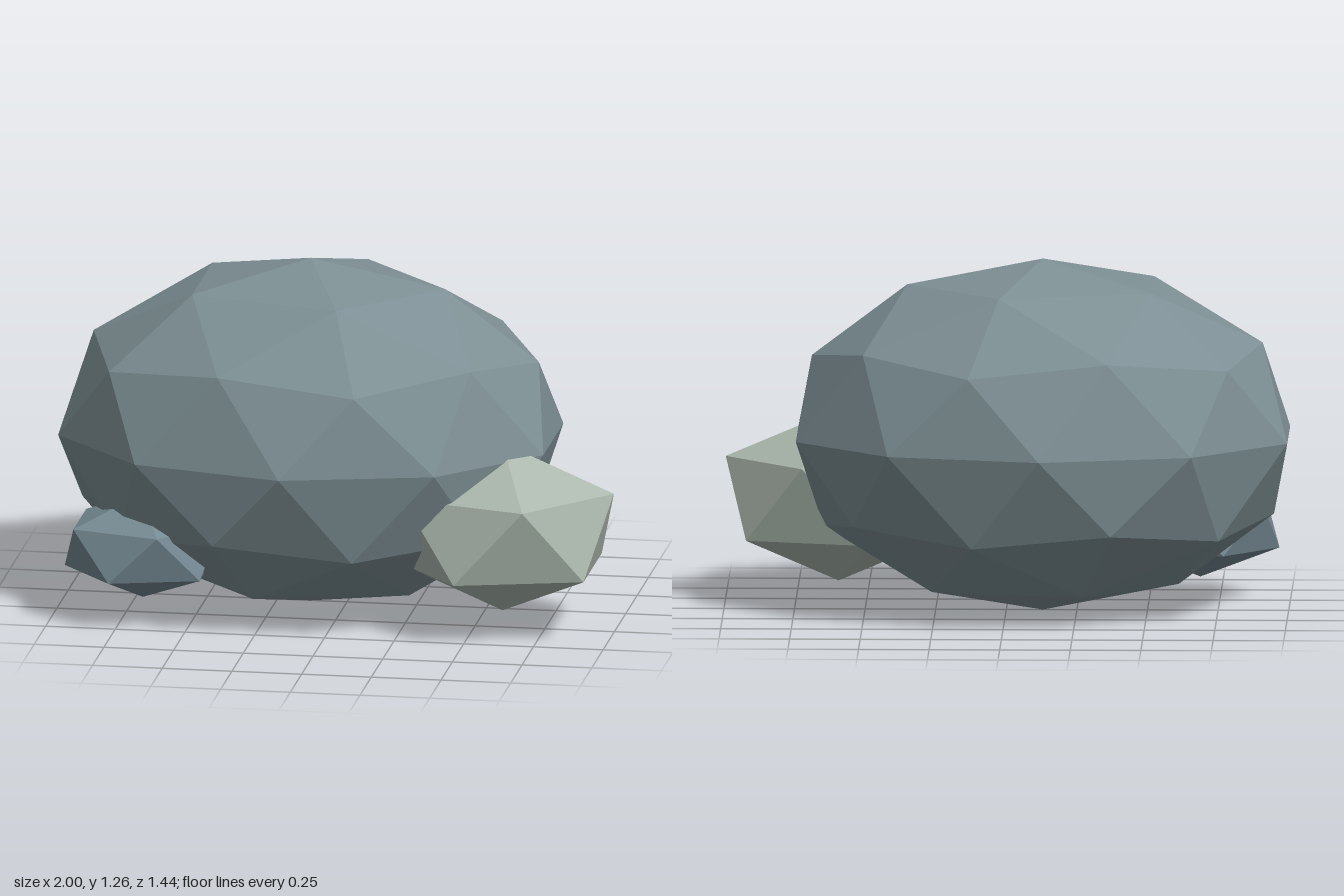
import * as THREE from 'three';

const stone = (name, color) => {
  const m = new THREE.MeshStandardMaterial({ color, flatShading: true });
  m.name = name;
  return m;
};

// Faceted stone: an icosahedron stood on one corner, then stretched
function rock(name, material, detail, radii, centre) {
  const geometry = new THREE.IcosahedronGeometry(1, detail);
  geometry.rotateZ(-Math.atan(2 / (1 + Math.sqrt(5))));
  geometry.scale(...radii);
  const mesh = new THREE.Mesh(geometry, material);
  mesh.name = name;
  mesh.position.set(...centre);
  return mesh;
}

export function createModel() {
  const group = new THREE.Group();
  group.name = 'rockCluster';

  const grey = stone('slate grey', 0x7d8f94);
  const blue = stone('blue grey', 0x768a93);
  const pale = stone('pale grey', 0xabb7ad);

  group.add(
    // Large boulder in the middle
    rock('boulder', grey, 1, [0.915, 0.628, 0.718], [-0.13, 0.63, 0]),
    // Pale stone leaning on the left side
    rock('paleStone', pale, 0, [0.447, 0.307, 0.382], [0.6, 0.373, 0.26]),
    // Small stone at the right front
    rock('smallStone', blue, 0, [0.313, 0.19, 0.272], [-0.68, 0.266, 0.32])
  );
  return group;
}
